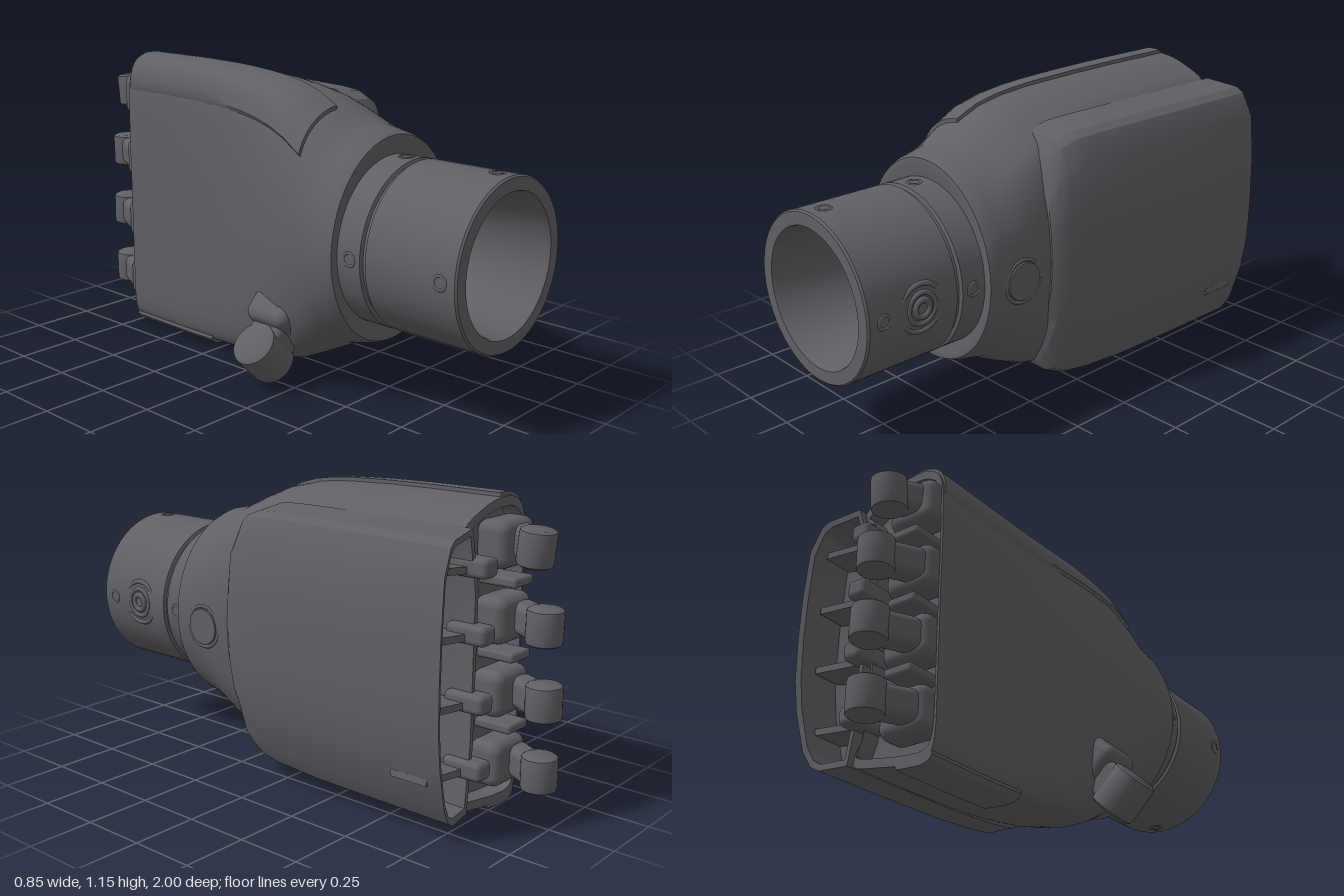
import * as THREE from 'three';
import { toCreasedNormals } from 'three/addons/utils/BufferGeometryUtils.js';
import { RoundedBoxGeometry } from 'three/addons/geometries/RoundedBoxGeometry.js';

const V = (x, y, z = 0) => new THREE.Vector3(x, y, z);
const CX = -0.01, CY = 0.58;

// Surface through rows of points; closed joins each row's end to its start
function grid(rows, closed, crease = 0.6) {
  const n = rows[0].length, idx = [];
  for (let r = 0; r < rows.length - 1; r++)
    for (let i = 0; i < (closed ? n : n - 1); i++) {
      const a = r * n + i, b = r * n + (i + 1) % n;
      idx.push(a, a + n, b, b, a + n, b + n);
    }
  const g = new THREE.BufferGeometry().setFromPoints(rows.flat());
  g.setIndex(idx);
  return toCreasedNormals(g, crease);
}

// Palm outline at the finger end, counterclockwise from +x, one point per 20 degrees
const palmEnd = [[0.13, 0.58], [0.13, 0.82], [0.15, 1.0], [0.2, 1.06], [0.09, 1.115], [0, 1.135], [-0.1, 1.13],
  [-0.16, 1.06], [-0.172, 0.85], [-0.172, 0.58], [-0.172, 0.3], [-0.17, 0.1], [-0.14, 0.025], [-0.05, 0.02],
  [0.06, 0.035], [0.18, 0.065], [0.15, 0.14], [0.13, 0.3]];
// z, then blend from wrist ellipse to palm end: left x, right x, y
const keys = [[0.51, 0, 0, 0], [0.4, 0.07, 0, 0.15], [0.28, 0.17, 0, 0.5], [0.2, 0.25, 0.04, 0.7],
  [0.1, 0.42, 0.15, 0.83], [0, 0.57, 0.4, 0.9], [-0.1, 0.72, 0.65, 0.94], [-0.25, 0.87, 0.9, 0.98],
  [-0.45, 0.95, 1, 1], [-0.75, 1, 1, 1]];

function palmCurve(z) {
  let k = 0;
  while (k < keys.length - 2 && z < keys[k + 1][0]) k++;
  const [a, b] = [keys[k], keys[k + 1]];
  const f = (z - a[0]) / (b[0] - a[0]);
  const [tl, tr, ty] = [1, 2, 3].map(j => a[j] + (b[j] - a[j]) * f);
  return new THREE.CatmullRomCurve3(palmEnd.map(([x, y], i) => {
    const q = i * Math.PI / 9, ex = CX + 0.345 * Math.cos(q), ey = CY + 0.385 * Math.sin(q);
    return V(ex + (x - ex) * (i > 4 && i < 14 ? tl : tr), ey + (y - ey) * ty, z);
  }), true, 'catmullrom', 0.5);
}
const N = 72;
const palmRing = z => Array.from({ length: N }, (_, i) => palmCurve(z).getPoint(i / N));
const scaled = (ring, s, z, cx = CX, cy = CY) => ring.map(p => V(cx + (p.x - cx) * s, cy + (p.y - cy) * s, z));

// Raised skin panel following the palm between two outline positions
function skinPanel(u0, u1, z0, z1, lift) {
  const rows = [], R = 14, C = 12;
  for (let r = 0; r <= R; r++) {
    const z = z0 + (z1 - z0) * Math.min(1, Math.max(0, (r - 1) / (R - 2)));
    const curve = palmCurve(z), row = [];
    for (let c = 0; c <= C; c++) {
      const u = u0 + (u1 - u0) * Math.min(1, Math.max(0, (c - 1) / (C - 2)));
      const p = curve.getPoint(u / 18), edge = r === 0 || r === R || c === 0 || c === C;
      const out = V(p.x - CX, p.y - CY).normalize().multiplyScalar(edge ? -0.005 : lift);
      row.push(p.add(out));
    }
    rows.push(row);
  }
  return grid(rows, false);
}

// Slot that runs through both bulkheads
function cableSlot() {
  const s = new THREE.Path();
  s.moveTo(0.05, 0.42);
  s.lineTo(0.05, 0.54);
  s.quadraticCurveTo(0.098, 0.53, 0.098, 0.48);
  s.quadraticCurveTo(0.098, 0.43, 0.05, 0.42);
  return s;
}

export function createModel() {
  const graphite = new THREE.MeshStandardMaterial({ color: 0x606065, side: THREE.DoubleSide });
  graphite.name = 'graphite';
  const hand = new THREE.Group();
  hand.name = 'mechanicalHand';
  const add = (name, geo, x = 0, y = 0, z = 0, parent = hand) => {
    const m = new THREE.Mesh(geo, graphite);
    m.name = name;
    m.position.set(x, y, z);
    parent.add(m);
    return m;
  };

  // Wrist tube with tapered bore and a seam groove
  const profile = [[0.185, 0.47], [0.2, 0.6], [0.25, 0.985], [0.255, 1], [0.302, 1], [0.308, 0.993], [0.308, 0.632],
    [0.295, 0.627], [0.295, 0.613], [0.308, 0.608], [0.308, 0.48]];
  const tube = new THREE.LatheGeometry(profile.map(p => new THREE.Vector2(...p)), 64).rotateX(Math.PI / 2);
  add('wristTube', toCreasedNormals(tube, 0.5), CX, CY, 0);

  // Wrist fittings: round port and small bolt rings
  for (const [r, t] of [[0.085, 0.01], [0.055, 0.01], [0.03, 0.012]])
    add('wristPort', new THREE.TorusGeometry(r, t, 8, 32).rotateY(Math.PI / 2), CX + 0.306 - r * r * 1.4, CY, 0.78);
  for (const z of [0.935, 0.56])
    for (let i = 0; i < 4; i++) {
      const a = i * Math.PI / 2;
      const b = add('boltRing', new THREE.TorusGeometry(0.024, 0.007, 6, 16).rotateY(Math.PI / 2),
        CX + 0.304 * Math.cos(a), CY + 0.304 * Math.sin(a), z);
      b.rotation.z = a;
    }

  // Palm shell with a lip at the wrist and a recessed finger end
  const first = palmRing(0.51), last = palmRing(-0.75);
  const inset = scaled(last, 0.94, -0.75, -0.02), floor = scaled(last, 0.94, -0.68, -0.02);
  add('palmShell', grid([scaled(first, 0.78, 0.5), scaled(first, 0.93, 0.512), scaled(first, 0.985, 0.51),
    ...[0.49, 0.45, 0.4, 0.34, 0.28, 0.24, 0.2, 0.15, 0.1, 0.05, 0, -0.1, -0.25, -0.45, -0.6].map(palmRing),
    last, inset, floor], true, 0.7));
  const wall = new THREE.Shape(floor.map(p => new THREE.Vector2(p.x, p.y)));
  wall.holes.push(cableSlot());
  add('fingerBulkhead', new THREE.ShapeGeometry(wall), 0, 0, -0.68);
  const disc = new THREE.Shape().absarc(CX, CY, 0.28, 0, Math.PI * 2);
  disc.holes.push(cableSlot());
  add('wristBulkhead', new THREE.ShapeGeometry(disc, 32), 0, 0, 0.47);
  for (const y of [0.49, 0.67])
    add('bulkheadPin', new THREE.CylinderGeometry(0.024, 0.024, 0.02, 4).rotateX(Math.PI / 2), 0, y, 0.475);

  // Raised panels on the upper and lower edges
  add('upperPanel', skinPanel(5.2, 7.3, 0.3, -0.74, 0.014));
  add('lowerPanel', skinPanel(11.6, 13.4, -0.28, -0.75, 0.012));

  // Back-of-hand cover: chamfered shell, open at the finger end
  const cover = [[0.2, 1.065], [0.33, 1.05], [0.36, 1.03], [0.403, 0.94], [0.418, 0.75], [0.422, 0.58], [0.418, 0.42],
    [0.4, 0.29], [0.36, 0.14], [0.325, 0.08], [0.29, 0.06], [0.18, 0.06], [0.145, 0.3], [0.14, 0.85]];
  const coverRow = (z, dx, sy, slant = 0) => cover.map(([x, y]) =>
    V(Math.max(x - dx, 0.14), CY + (y - CY) * sy, z - slant * (x - 0.14)));
  const coverIn = z => cover.map(([x, y]) => V(0.27 + (x - 0.27) * 0.87, 0.56 + (y - 0.56) * 0.95, z - (x - 0.14) * 0.15));
  const coverFloor = coverIn(-0.6);
  const hub = z => cover.map(() => V(0.27, 0.56, z));
  add('backCover', grid([hub(0.22), coverRow(0.225, 0.085, 0.62), coverRow(0.2, 0.067, 0.8), coverRow(0.16, 0.052, 0.92),
    coverRow(0.09, 0.037, 0.975), coverRow(0, 0.024, 0.99), coverRow(-0.2, 0.01, 1), coverRow(-0.5, 0.003, 1),
    coverRow(-0.77, 0, 1, 0.18), coverIn(-0.77), coverFloor, hub(-0.62)], true, 0.45));

  // Ribs dividing the open end of the cover
  for (const y of [0.22, 0.46, 0.7, 0.93]) {
    const rib = add('coverRib', new THREE.BoxGeometry(0.25, 0.025, 0.15), 0.265, y, -0.68);
    rib.rotation.z = 0.12;
    add('ribKnuckle', new RoundedBoxGeometry(0.08, 0.07, 0.16, 2, 0.02), 0.15, y, -0.75);
  }

  // Round button on the side of the palm
  const button = new THREE.Group();
  button.name = 'sideButton';
  button.position.set(0.325, 0.56, 0.36);
  hand.add(button);
  add('buttonCap', new THREE.CylinderGeometry(0.07, 0.075, 0.03, 32).rotateZ(-Math.PI / 2), 0, 0, 0, button);
  add('buttonRim', new THREE.TorusGeometry(0.08, 0.008, 8, 32).rotateY(Math.PI / 2), 0.003, 0, 0, button);

  // Rounded barrel with softened rims, axis along y
  const barrel = (r, len) => toCreasedNormals(new THREE.LatheGeometry([[0, -0.5], [0.82, -0.5], [0.97, -0.45], [1, -0.38],
    [1, 0.38], [0.97, 0.45], [0.82, 0.5], [0, 0.5]].map(([a, b]) => new THREE.Vector2(a * r, b * len)), 28), 0.6);

  // Four finger joints with necks, sockets and webs between them
  [[0.19, -0.93, 0], [0.45, -0.935, 0.02], [0.715, -0.925, -0.02], [0.98, -0.88, -0.1]].forEach(([y, z, tilt], i) => {
    const joint = new THREE.Group();
    joint.name = 'fingerJoint';
    joint.position.set(-0.035, y, z);
    joint.rotation.x = tilt;
    hand.add(joint);
    add('fingerBarrel', barrel(0.065, 0.13), 0, 0, 0, joint);
    const neck = add('fingerNeck', new RoundedBoxGeometry(0.095, 0.115, 0.17, 3, 0.03), -0.035, 0, 0.08, joint);
    neck.rotation.y = -0.5;
    add('fingerSocket', new RoundedBoxGeometry(0.2, 0.17, 0.13, 3, 0.04), -0.06, y, -0.74);
    if (i < 3) add('fingerWeb', new RoundedBoxGeometry(0.12, 0.035, 0.16, 2, 0.012), -0.06, y + 0.135, -0.745);
  });

  // Thumb joint pointing down and outward
  const thumb = new THREE.Group();
  thumb.name = 'thumbJoint';
  thumb.position.set(-0.315, 0.135, 0.155);
  thumb.rotation.z = Math.PI / 4;
  hand.add(thumb);
  add('thumbBarrel', barrel(0.088, 0.165), 0, 0, 0, thumb);
  add('thumbNeck', new RoundedBoxGeometry(0.16, 0.145, 0.15, 3, 0.03), 0.08, 0, 0, thumb);
  add('thumbBase', new RoundedBoxGeometry(0.17, 0.21, 0.2, 3, 0.04), 0.17, 0.01, 0, thumb);

  return hand;
}
